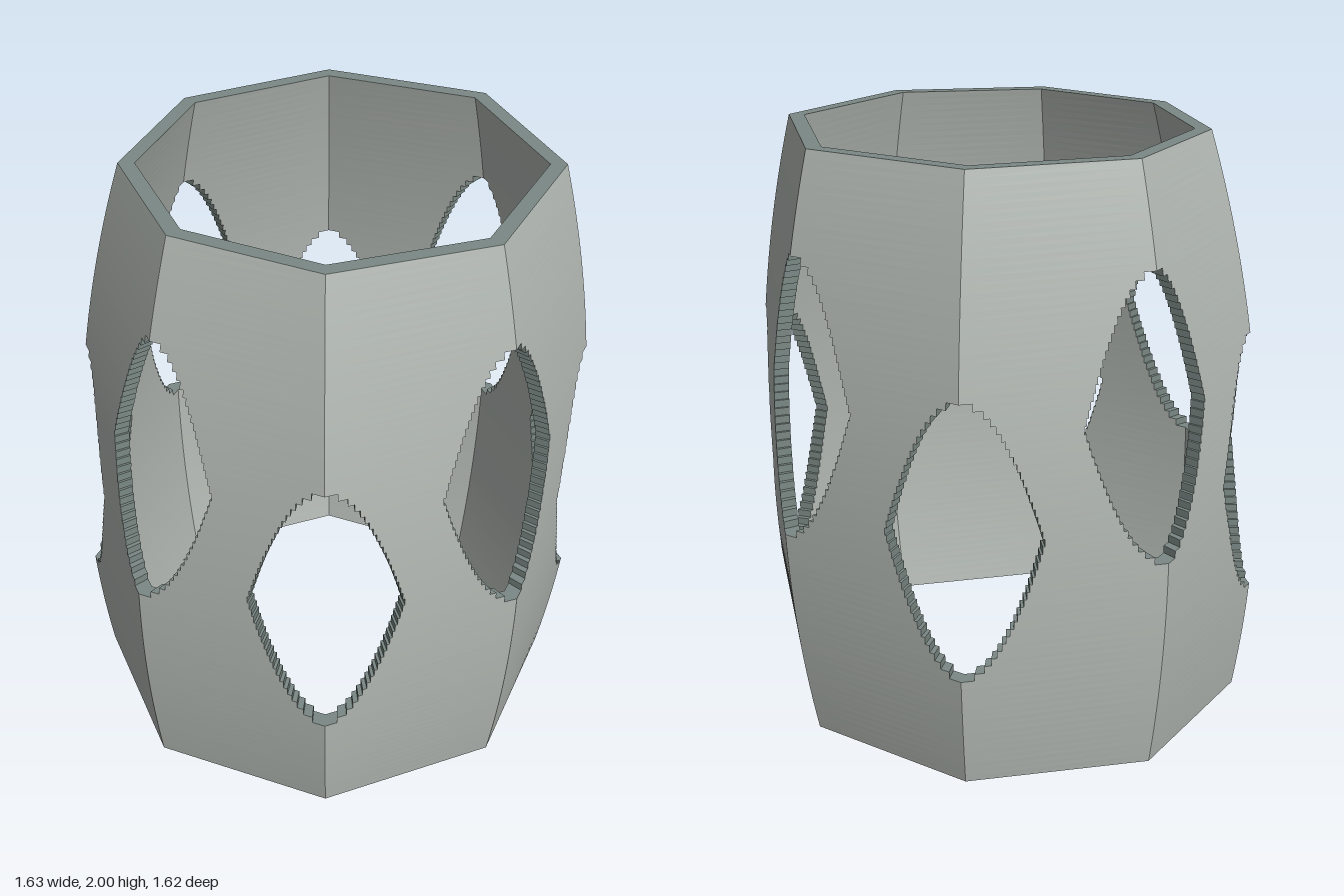
import * as THREE from 'three';

const SIDES = 8, ROWS = 80, HEIGHT = 2, WALL = 0.054;
const STEP = HEIGHT / ROWS;
const HOLE_HALF_HEIGHT = 0.4625, HOLE_HALF_WIDTH = 0.405; // width as a share of one panel

// Corner of the slightly tilted octagonal barrel at height y
function corner(k, y, inset) {
  const phi = THREE.MathUtils.degToRad(22.5 + 45 * k - 135);
  const lift = y - 0.135 * Math.cos(phi) - 0.788;
  const r = 0.877 - 0.116 * lift * lift - inset;
  const a = phi + THREE.MathUtils.degToRad(135 + 1.1 * Math.sin(phi));
  return new THREE.Vector3(r * Math.sin(a), y, r * Math.cos(a));
}

// Point on panel k, s running from its first corner to its second
const onPanel = (k, s, y, inset) => corner(k, y, inset).lerp(corner(k + 1, y, inset), s);

// How far the hole on corner k reaches into a panel at height y
function reach(k, y) {
  const centre = (k % 2 === 0) ? 0.8625 : 1.2125;
  const v = Math.abs(y - centre) / HOLE_HALF_HEIGHT;
  return v < 1 ? HOLE_HALF_WIDTH * Math.sqrt(1 - v) : 0;
}

// Collects four-cornered faces into one geometry
class Faces {
  constructor() { this.points = []; }
  quad(a, b, c, d) { this.points.push(a, b, c, a, c, d); }
  mesh(name, material) {
    const g = new THREE.BufferGeometry().setFromPoints(this.points);
    g.computeVertexNormals();
    const m = new THREE.Mesh(g, material);
    m.name = name;
    return m;
  }
}

export function createModel() {
  const shellGrey = new THREE.MeshStandardMaterial({ color: 0xb4bab5 });
  shellGrey.name = 'shell grey';
  const edgeGrey = new THREE.MeshStandardMaterial({ color: 0x7b8985 });
  edgeGrey.name = 'cut edge grey green';

  const outer = new Faces(), inner = new Faces(), rims = new Faces(), ends = new Faces();

  for (let k = 0; k < SIDES; k++) {
    const out = (s, y) => onPanel(k, s, y, 0);
    const inn = (s, y) => onPanel(k, s, y, WALL);

    // Flat strip across the wall at a step of the hole, facing up or down
    const tread = (s0, s1, y, up) => {
      if (s1 - s0 < 1e-6) return;
      if (up) rims.quad(out(s0, y), out(s1, y), inn(s1, y), inn(s0, y));
      else rims.quad(inn(s0, y), inn(s1, y), out(s1, y), out(s0, y));
    };

    let lastL = 0, lastR = 1;
    for (let j = 0; j < ROWS; j++) {
      const y0 = j * STEP, y1 = y0 + STEP, mid = y0 + STEP / 2;
      const l = reach(k, mid), r = 1 - reach(k + 1, mid);

      // Wall faces of this row
      outer.quad(out(l, y0), out(r, y0), out(r, y1), out(l, y1));
      inner.quad(inn(r, y0), inn(l, y0), inn(l, y1), inn(r, y1));

      // Upright parts of the hole edges
      if (l > 0) rims.quad(inn(l, y0), out(l, y0), out(l, y1), inn(l, y1));
      if (r < 1) rims.quad(out(r, y0), inn(r, y0), inn(r, y1), out(r, y1));

      // Treads between this row and the one below
      if (j > 0) {
        tread(lastL, l, y0, true);
        tread(l, lastL, y0, false);
        tread(r, lastR, y0, true);
        tread(lastR, r, y0, false);
      }
      lastL = l;
      lastR = r;
    }

    // Top and bottom edges of the tube
    ends.quad(out(0, HEIGHT), out(1, HEIGHT), inn(1, HEIGHT), inn(0, HEIGHT));
    ends.quad(inn(0, 0), inn(1, 0), out(1, 0), out(0, 0));
  }

  const group = new THREE.Group();
  group.name = 'octagonalBarrelTube';
  group.add(
    outer.mesh('outerWall', shellGrey),
    inner.mesh('innerWall', shellGrey),
    rims.mesh('holeEdges', edgeGrey),
    ends.mesh('topAndBottomEdges', edgeGrey),
  );
  return group;
}
